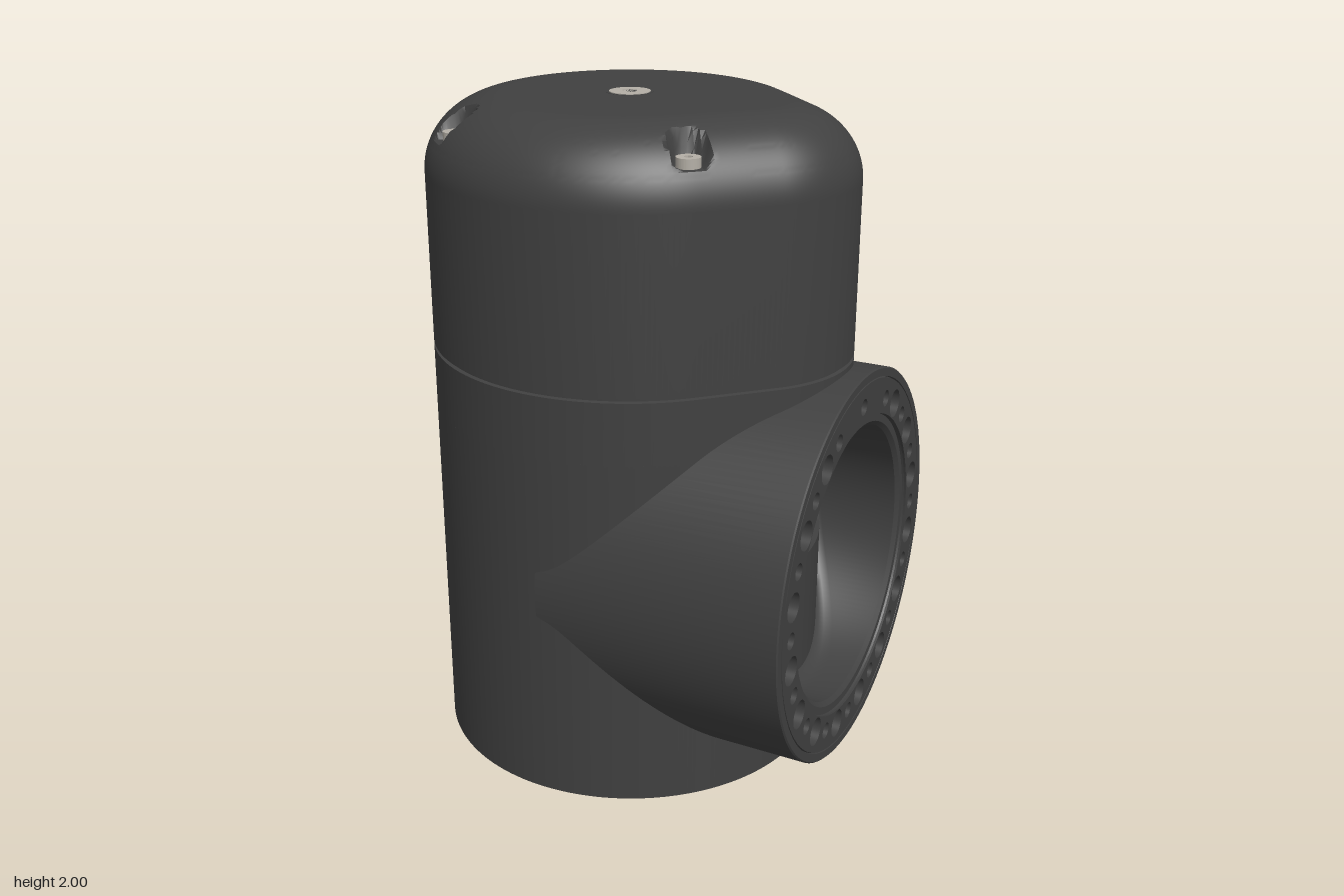
import * as THREE from 'three';
import { toCreasedNormals } from 'three/addons/utils/BufferGeometryUtils.js';

const CX = -0.08, R = 0.595;            // main vertical cylinder
const NX = 0.265, NR = 0.35;            // rounded nose of the cap outline
const PY = 0.655;                       // height of the side port axis
const dark = new THREE.MeshStandardMaterial({ color: 0x404040, side: THREE.DoubleSide });
const steel = new THREE.MeshStandardMaterial({ color: 0xb4afa6 });

// Skin through closed rings that all have the same number of points
function loft(rows, crease = 0.6) {
  const n = rows[0].length, pos = [], idx = [];
  rows.forEach(row => row.forEach(p => pos.push(...p)));
  for (let i = 0; i < rows.length - 1; i++)
    for (let j = 0; j < n; j++) {
      const a = i * n + j, b = i * n + (j + 1) % n;
      idx.push(a, a + n, b, b, a + n, b + n);
    }
  const g = new THREE.BufferGeometry();
  g.setAttribute('position', new THREE.Float32BufferAttribute(pos, 3));
  g.setIndex(idx);
  return toCreasedNormals(g, crease);
}

function add(parent, name, geometry, material = dark, x = 0, y = 0, z = 0) {
  const m = new THREE.Mesh(geometry, material);
  m.name = name;
  m.position.set(x, y, z);
  parent.add(m);
  return m;
}

const angles = n => Array.from({ length: n }, (_, i) => i / n * Math.PI * 2);

// Cap outline: large arc, two tangent lines and a nose arc, inset by d
function outline(d) {
  const pts = [], q = Math.PI / 4;
  const arc = (cx, r, a0, a1, n) => {
    for (let i = 0; i <= n; i++) {
      const a = a0 + (a1 - a0) * i / n;
      pts.push([cx + r * Math.cos(a), r * Math.sin(a)]);
    }
  };
  const line = (a, b) => {
    for (let i = 1; i < 16; i++) pts.push([a[0] + (b[0] - a[0]) * i / 16, a[1] + (b[1] - a[1]) * i / 16]);
  };
  const at = (cx, r, a) => [cx + r * Math.cos(a), r * Math.sin(a)];
  arc(CX, R - d, q, 7 * q, 180);
  line(at(CX, R - d, 7 * q), at(NX, NR - d, -q));
  arc(NX, NR - d, -q, q, 40);
  line(at(NX, NR - d, q), at(CX, R - d, q));
  return pts;
}

const screws = [[-0.44, -0.365], [-0.44, 0.365], [0.285, -0.365], [0.285, 0.365]];

// Sink the dome into slots that open outward at each screw
function carve(x, y, z) {
  for (const [sx, sz] of screws) {
    const l = Math.hypot(sx - CX, sz), ux = (sx - CX) / l, uz = sz / l;
    const u = (x - sx) * ux + (z - sz) * uz, v = (z - sz) * ux - (x - sx) * uz;
    const dist = u > 0 ? Math.abs(v) : Math.hypot(u, v);
    if (u > -0.1) y = Math.min(y, 1.89 + 0.12 * THREE.MathUtils.smoothstep(dist, 0.038, 0.075));
  }
  return y;
}

// Bolt ring facing +z with alternating large and small conical holes
function boltRing(name, outer, inner) {
  const g = new THREE.Group();
  g.name = name;
  const shape = new THREE.Shape().absarc(0, 0, outer, 0, Math.PI * 2);
  shape.holes.push(new THREE.Path().absarc(0, 0, inner, 0, Math.PI * 2, true));
  const pitch = (outer + inner) / 2 - 0.008;
  for (let k = 0; k < 32; k++) {
    if (k === 1 || k === 31) continue;
    const r = k % 2 ? 0.043 : 0.025, a = Math.PI / 2 + k * Math.PI / 16;
    const x = pitch * Math.cos(a), y = pitch * Math.sin(a);
    shape.holes.push(new THREE.Path().absarc(x, y, r, 0, Math.PI * 2, true));
    const pit = add(g, 'boltHole', new THREE.CylinderGeometry(r, 0.002, 0.03, 16, 1, true), dark, x, y, -0.015);
    pit.rotation.x = Math.PI / 2;
  }
  add(g, 'ringPlate', new THREE.ExtrudeGeometry(shape, { depth: 0.03, bevelEnabled: false, curveSegments: 48 }));
  return g;
}

// Screw head with a hexagonal socket
function screw(name, r, h, x, y, z) {
  const g = new THREE.Group();
  g.name = name;
  const s = new THREE.Shape().absarc(0, 0, r, 0, Math.PI * 2);
  const hex = new THREE.Path();
  angles(6).forEach((a, i) => hex[i ? 'lineTo' : 'moveTo'](r * 0.4 * Math.cos(a), -r * 0.4 * Math.sin(a)));
  s.holes.push(hex);
  const head = new THREE.ExtrudeGeometry(s, { depth: h, bevelEnabled: false, curveSegments: 24 }).rotateX(-Math.PI / 2);
  add(g, 'screwHead', head, steel);
  add(g, 'socketFloor', new THREE.CylinderGeometry(r * 0.9, r * 0.9, 0.004, 24), steel, 0, 0.004, 0);
  g.position.set(x, y, z);
  return g;
}

export function createModel() {
  const model = new THREE.Group();
  model.name = 'jointHousing';

  // Lower barrel, open below, with a rounded window behind the side port
  const W = 0.31, CR = 0.06;
  const wallTop = a => {
    const z = Math.abs(R * Math.sin(a));
    if (Math.cos(a) < 0 || z > W) return 1.085;
    const c = Math.max(0, z - (W - CR));
    return 0.65 + CR - Math.sqrt(CR * CR - c * c);
  };
  const barrel = [[0.565, 0.6], [0.565, 0.18], [0.58, 0.17], [0.58, 0], [R, 0], [R, wallTop], [0.565, wallTop], [0.565, 0.6]];
  add(model, 'lowerBarrel', loft(barrel.map(([r, y]) => angles(256).map(a =>
    [CX + r * Math.cos(a), typeof y === 'number' ? y : y(a), r * Math.sin(a)]))));

  // Chamber floor, ceiling and the block seen through the window
  const disc = new THREE.CylinderGeometry(0.575, 0.575, 0.01, 96);
  add(model, 'chamberFloor', disc, dark, CX, 0.644, 0);
  add(model, 'chamberCeiling', disc, dark, CX, 1.09, 0);
  add(model, 'chamberBlock', new THREE.BoxGeometry(0.2, 0.08, 0.46), dark, 0.2, 0.99, 0);
  const lower = boltRing('lowerBoltRing', 0.566, 0.43);
  lower.rotation.x = Math.PI / 2;
  lower.position.set(CX, 0.62, 0);
  model.add(lower);

  // Upper body and domed cap with a seam groove
  const rings = [[0, 1.08], [0, 1.27], [0.012, 1.272], [0.012, 1.28], [0, 1.282]];
  for (let i = 0; i <= 32; i++) {
    const t = i / 32 * Math.PI / 2;
    rings.push([0.23 * (1 - Math.cos(t)), 1.79 + 0.21 * Math.sin(t)]);
  }
  const rows = rings.map(([d, y]) => outline(d).map(([x, z]) => [x, y > 1.8 ? carve(x, y, z) : y, z]));
  rows.push(rows[0].map(() => [CX, 2, 0]));
  add(model, 'upperCap', loft(rows));

  // Cap screws
  screws.forEach(([x, z]) => model.add(screw('capScrew', 0.034, 0.03, x, 1.888, z)));
  add(model, 'centreRecess', new THREE.CylinderGeometry(0.068, 0.068, 0.004, 48), dark, CX, 1.9985, 0);
  model.add(screw('centreScrew', 0.06, 0.008, CX, 1.9945, 0));

  // Side port: tubes trimmed where they meet the barrel
  const meet = z => CX + Math.sqrt(Math.max(0, R * R - z * z));
  const tube = profile => loft(profile.map(([r, x, off]) => angles(160).map(a => {
    const z = r * Math.sin(a);
    return [off === undefined ? x : meet(z) + off, PY + r * Math.cos(a), z];
  })));
  add(model, 'portShell', tube([[0.6, 0, 0], [0.6, 0.671], [0.596, 0.675], [0.572, 0.675], [0.57, 0.668], [0.567, 0.675]]));
  add(model, 'portBore', tube([[0.462, 0.675], [0.458, 0.662], [0.435, 0.662], [0.422, 0.65],
    [0.42, 0, 0.06], [0.415, 0, 0.03], [0.405, 0, 0.01], [0.39, 0, -0.003]]));
  const port = boltRing('portBoltRing', 0.568, 0.46);
  port.rotation.y = Math.PI / 2;
  port.position.set(0.645, PY, 0);
  model.add(port);

  return model;
}
